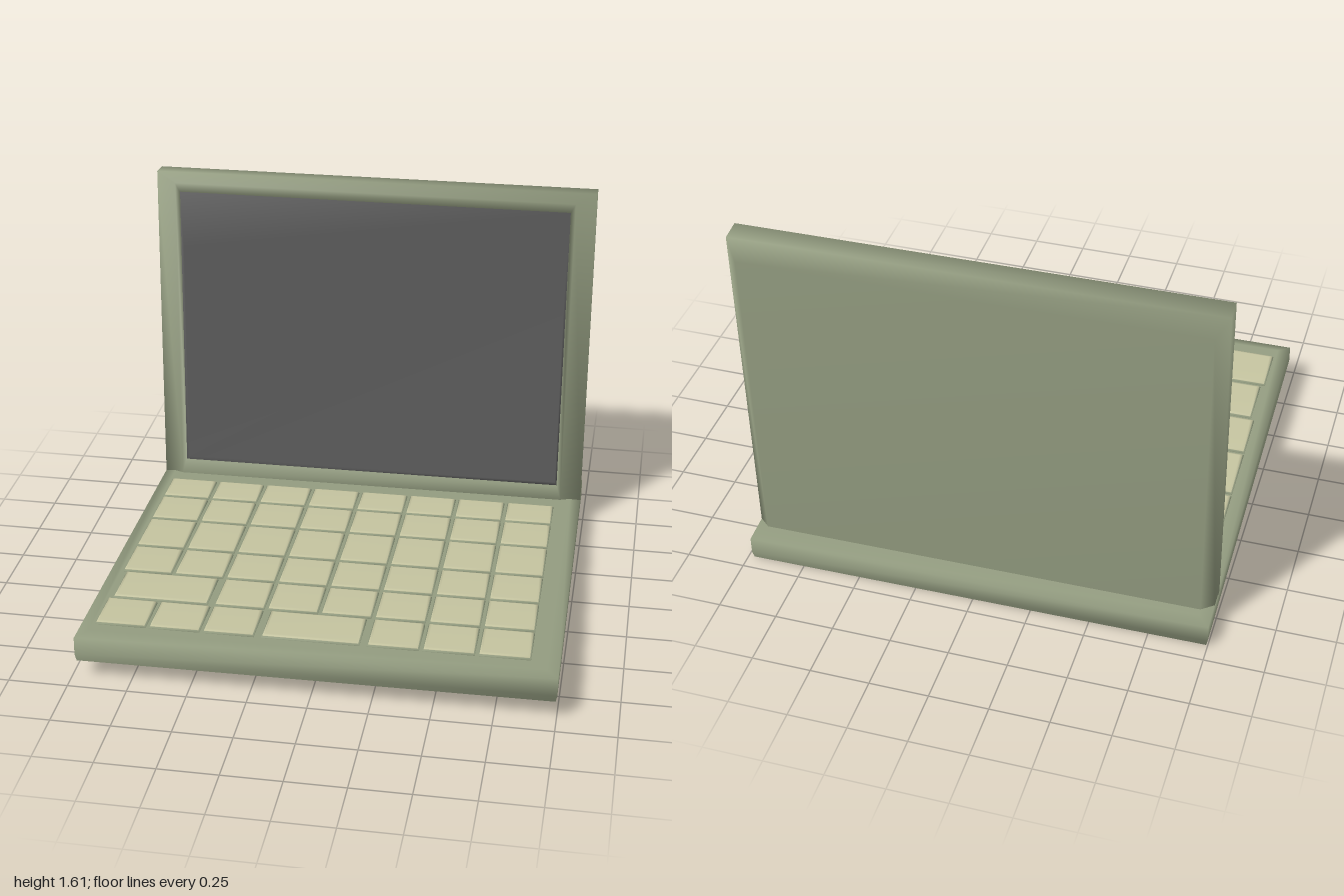
import * as THREE from 'three';

const bodyMat = new THREE.MeshStandardMaterial({ color: 0x939c80 });
const keyMat = new THREE.MeshStandardMaterial({ color: 0xc4c39f });
const screenMat = new THREE.MeshStandardMaterial({ color: 0x5c5c5c });

// Smooth loft through rectangles [x0, x1, y0, y1, z]; flatStart keeps the first cap hard-edged
function loft(rings, flatStart = false) {
  const pos = [], idx = [];
  const corners = ([x0, x1, y0, y1, z]) =>
    pos.push(x0, y0, z, x1, y0, z, x1, y1, z, x0, y1, z);
  rings.forEach(corners);
  for (let r = 0; r < rings.length - 1; r++) {
    for (let i = 0; i < 4; i++) {
      const a = r * 4 + i, b = r * 4 + (i + 1) % 4;
      idx.push(a, b, b + 4, a, b + 4, a + 4);
    }
  }
  let s = 0;
  if (flatStart) {
    s = rings.length * 4;
    corners(rings[0]);
  }
  const e = (rings.length - 1) * 4;
  idx.push(s, s + 2, s + 1, s, s + 3, s + 2);
  idx.push(e, e + 1, e + 2, e, e + 2, e + 3);
  const g = new THREE.BufferGeometry();
  g.setAttribute('position', new THREE.Float32BufferAttribute(pos, 3));
  g.setIndex(idx);
  g.computeVertexNormals();
  return g;
}

// Rectangle at height y, shrunk by inset, for lofts that are later turned to stand upright
const flatRing = (x0, x1, z0, z1, y, inset = 0) =>
  [x0 + inset, x1 - inset, -z1 + inset, -z0 - inset, y];

function add(parent, name, geometry, material) {
  const mesh = new THREE.Mesh(geometry, material);
  mesh.name = name;
  parent.add(mesh);
  return mesh;
}

// Key with a body-coloured skirt and a lighter cap
function makeKey(x0, x1, z0, z1) {
  const key = new THREE.Group();
  key.name = 'key';
  const ring = (y, inset) => flatRing(x0, x1, z0, z1, y, inset);
  add(key, 'keySkirt', loft([ring(0.11, 0.002), ring(0.123, 0.004), ring(0.129, 0.01)]).rotateX(-Math.PI / 2), bodyMat);
  add(key, 'keyCap', loft([ring(0.122, 0.008), ring(0.13, 0.009), ring(0.134, 0.02)]).rotateX(-Math.PI / 2), keyMat);
  return key;
}

export function createModel() {
  const model = new THREE.Group();
  model.name = 'laptop';

  // Everything leans back slightly and is turned a touch
  const laptop = new THREE.Group();
  laptop.name = 'laptopBody';
  laptop.rotation.set(-0.045, 0.01, 0, 'YXZ');
  laptop.position.y = 0.042;
  model.add(laptop);

  // Base slab
  const b = (y, inset) => flatRing(-0.99, 0.99, -0.93, 0.93, y, inset);
  add(laptop, 'base', loft([b(0, 0.006), b(0.03, 0), b(0.108, 0), b(0.12, 0.05)], true).rotateX(-Math.PI / 2), bodyMat);

  // Keyboard: each row lists key widths in columns
  const keyboard = new THREE.Group();
  keyboard.name = 'keyboard';
  laptop.add(keyboard);
  const rowEdges = [-0.59, -0.39, -0.155, 0.12, 0.36, 0.6, 0.83];
  const plain = [1, 1, 1, 1, 1, 1, 1, 1];
  const rows = [plain, plain, plain, plain, [2, 1, 1, 1, 1, 1, 1], [1, 1, 1, 2, 1, 1, 1]];
  const pitch = 0.227;
  rows.forEach((widths, r) => {
    let col = 0;
    for (const w of widths) {
      const gap = w > 1 ? 0.02 : 0.003;
      const x = -0.935 + col * pitch;
      keyboard.add(makeKey(x + gap, x + w * pitch - gap, rowEdges[r] + 0.003, rowEdges[r + 1] - 0.003));
      col += w;
    }
  });

  // Lid with bevelled back and raised bezel
  const lid = new THREE.Group();
  lid.name = 'lid';
  laptop.add(lid);
  add(lid, 'lidFrame', loft([
    [-0.94, 0.94, 0.1, 1.52, -0.85],
    [-0.99, 0.99, 0.1, 1.595, -0.8],
    [-0.99, 0.99, 0.1, 1.6, -0.71],
    [-0.9, 0.9, 0.12, 1.56, -0.672],
    [-0.88, 0.88, 0.19, 1.52, -0.672],
    [-0.875, 0.875, 0.195, 1.515, -0.71],
  ]), bodyMat);

  // Slightly sunken screen
  add(lid, 'screen', loft([
    [-0.88, 0.88, 0.19, 1.52, -0.72],
    [-0.88, 0.88, 0.19, 1.52, -0.677],
    [-0.87, 0.87, 0.2, 1.25, -0.69],
  ], true), screenMat);

  return model;
}
